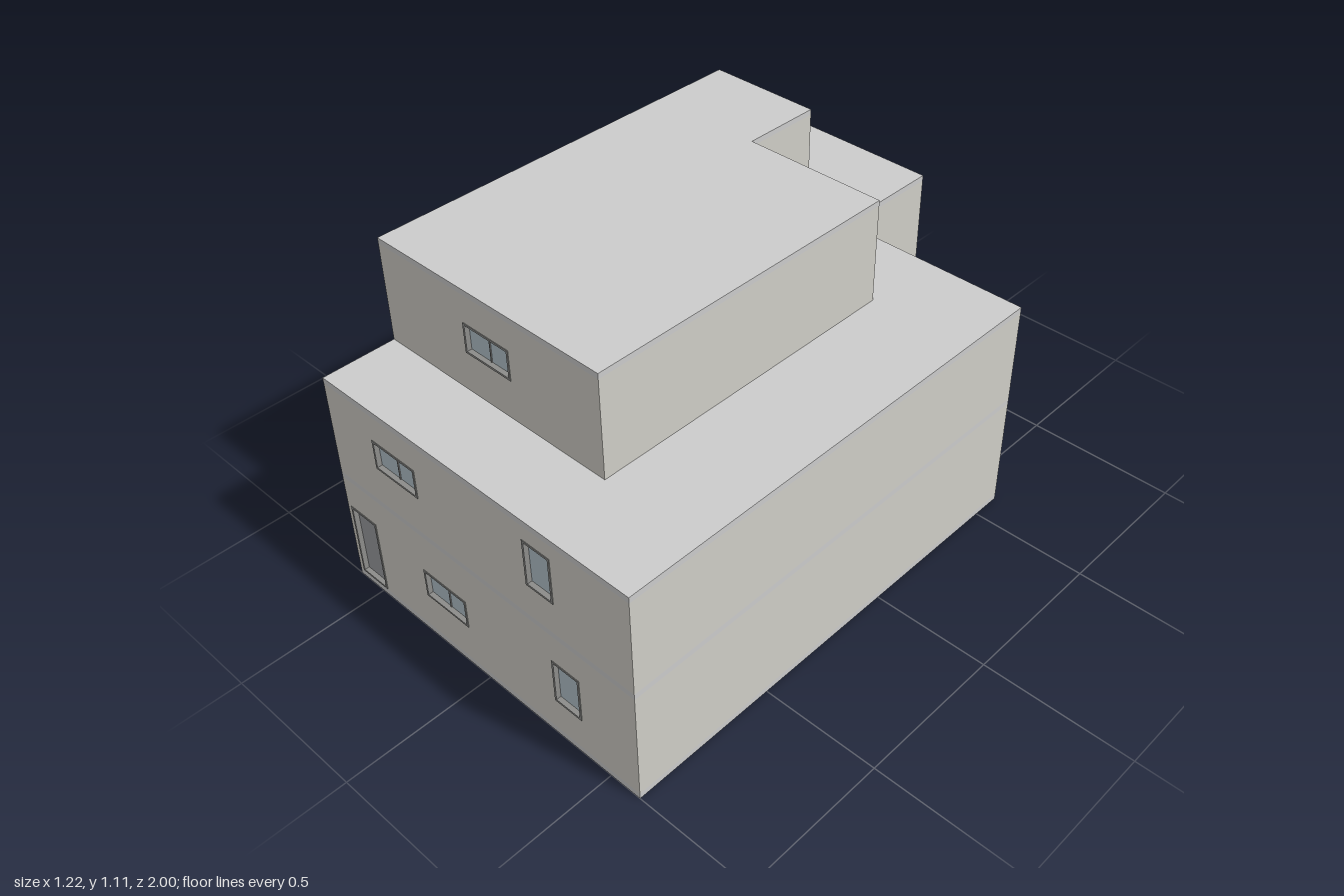
import * as THREE from 'three';

const paint = (color) => new THREE.MeshStandardMaterial({ color });
const WALL = paint(0xcfcdc6), SLAB = paint(0xc4c4c4), FRAME = paint(0x8c8c8a);
const GLASS = paint(0xb4c3cb), DOOR = paint(0x9a9ca0);
const T = 0.02; // wall thickness

// Footprints as [x, z], starting with the front wall
const MAIN = [[-0.61, 1], [0.61, 1], [0.61, -0.6], [-0.06, -0.6], [-0.06, -1], [-0.61, -1]];
const TOP = [[-0.61, 0.755], [0.268, 0.755], [0.268, -0.33], [-0.22, -0.33], [-0.22, -0.6], [-0.61, -0.6]];

// Openings: wall index, distance along the wall, height range
const STOREYS = [
  { name: 'groundFloor', plan: MAIN, y0: 0.02, y1: 0.395, openings: [
    { wall: 0, u: [0.017, 0.135], y: [0.023, 0.288], kind: 'door' },
    { wall: 0, u: [0.352, 0.537], y: [0.153, 0.255], kind: 'doubleWindow' },
    { wall: 0, u: [0.9, 1.006], y: [0.138, 0.295], kind: 'window' },
    { wall: 3, u: [0.09, 0.19], y: [0.138, 0.292], kind: 'window' }] },
  { name: 'upperFloor', plan: MAIN, y0: 0.415, y1: 0.74, openings: [
    { wall: 0, u: [0.2, 0.384], y: [0.548, 0.65], kind: 'doubleWindow' },
    { wall: 0, u: [0.828, 0.932], y: [0.53, 0.69], kind: 'window' }] },
  { name: 'topFloor', plan: TOP, y0: 0.76, y1: 1.087, openings: [
    { wall: 0, u: [0.346, 0.529], y: [0.893, 0.993], kind: 'doubleWindow' }] },
];
const SLABS = [['floorSlab', MAIN, 0, 0.02], ['middleSlab', MAIN, 0.395, 0.415],
  ['terraceSlab', MAIN, 0.74, 0.76], ['roofSlab', TOP, 1.087, 1.105]];

function mesh(name, geometry, material, x = 0, y = 0, z = 0) {
  const m = new THREE.Mesh(geometry, material);
  m.name = name;
  m.position.set(x, y, z);
  return m;
}

const rect = (u0, u1, y0, y1, Type = THREE.Shape) => new Type(
  [[u0, y0], [u1, y0], [u1, y1], [u0, y1]].map((p) => new THREE.Vector2(...p)));

const extrude = (shape, depth) => new THREE.ExtrudeGeometry(shape, { depth, bevelEnabled: false });

function slab(name, plan, y0, y1) {
  const shape = new THREE.Shape(plan.map(([x, z]) => new THREE.Vector2(x, -z)));
  return mesh(name, extrude(shape, y1 - y0).rotateX(-Math.PI / 2), SLAB, 0, y0);
}

// Recessed pane or door leaf with a slim frame around it
function filling({ u: [u0, u1], y: [y0, y1], kind }) {
  const g = new THREE.Group();
  g.name = kind;
  const w = u1 - u0, h = y1 - y0, cx = (u0 + u1) / 2, cy = (y0 + y1) / 2, f = 0.007;
  const ring = rect(u0, u1, y0, y1);
  ring.holes.push(rect(u0 + f, u1 - f, y0 + f, y1 - f, THREE.Path));
  g.add(mesh('frame', extrude(ring, T + 0.002), FRAME, 0, 0, -T));
  const isDoor = kind === 'door';
  g.add(mesh(isDoor ? 'doorLeaf' : 'glass', new THREE.BoxGeometry(w - f, h - f, 0.006),
    isDoor ? DOOR : GLASS, cx, cy, -T + 0.003));
  if (isDoor) g.add(mesh('doorKnob', new THREE.SphereGeometry(0.003, 10, 8), FRAME, u1 - 0.018, cy - 0.01, -T + 0.008));
  if (kind === 'doubleWindow') g.add(mesh('mullion', new THREE.BoxGeometry(0.004, h - f, 0.008), FRAME, cx, cy, -T + 0.005));
  return g;
}

// One wall panel per footprint edge, local +z facing outwards
function storey({ name, plan, y0, y1, openings }) {
  const g = new THREE.Group();
  g.name = name;
  plan.forEach(([ax, az], i) => {
    const [bx, bz] = plan[(i + 1) % plan.length];
    const run = new THREE.Group();
    run.name = 'wallRun';
    run.position.set(ax, 0, az);
    run.rotation.y = Math.atan2(az - bz, bx - ax);
    const shape = rect(0, Math.hypot(bx - ax, bz - az), y0, y1);
    for (const o of openings.filter((o) => o.wall === i)) {
      shape.holes.push(rect(...o.u, ...o.y, THREE.Path));
      run.add(filling(o));
    }
    run.add(mesh('wall', extrude(shape, T), WALL, 0, 0, -T));
    g.add(run);
  });
  return g;
}

export function createModel() {
  const house = new THREE.Group();
  house.name = 'house';
  STOREYS.forEach((s) => house.add(storey(s)));
  SLABS.forEach((s) => house.add(slab(...s)));
  return house;
}
